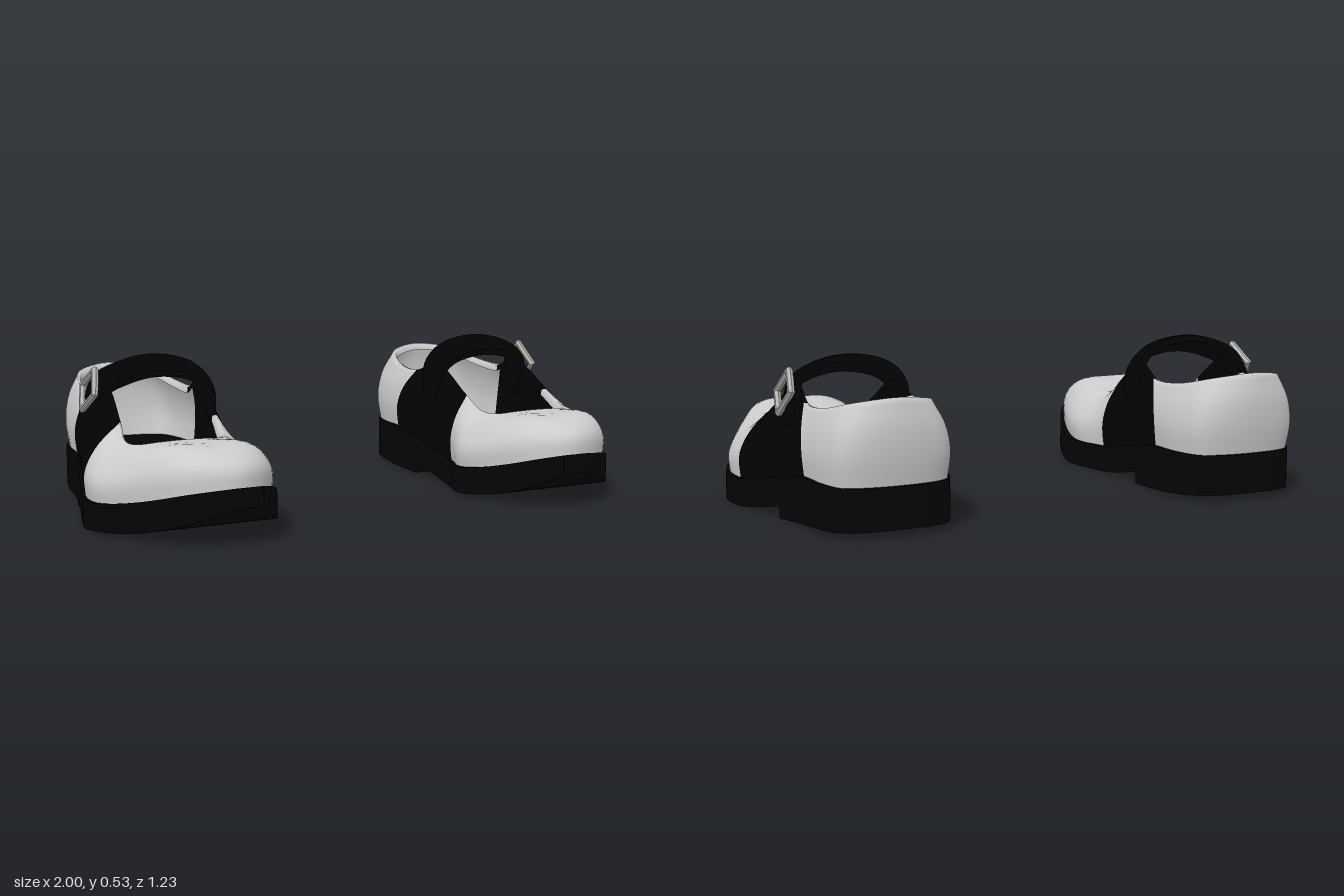
import * as THREE from 'three';

const V = (x, y, z) => new THREE.Vector3(x, y, z);
const { lerp } = THREE.MathUtils;

const white = new THREE.MeshStandardMaterial({ color: 0xcccccc, side: THREE.DoubleSide });
white.name = 'white leather';
const black = new THREE.MeshStandardMaterial({ color: 0x020202, side: THREE.DoubleSide });
black.name = 'black leather';
const rubber = new THREE.MeshStandardMaterial({ color: 0x040404 });
rubber.name = 'black rubber';
const metal = new THREE.MeshStandardMaterial({ color: 0xb4b4b0 });
metal.name = 'buckle metal';

// Sole sections from heel to toe: z, inner x, outer x, bottom y, top y
const SOLE = [
  [-0.607, 0.56, 0.74, 0.06, 0.165], [-0.58, 0.495, 0.805, 0.06, 0.165],
  [-0.54, 0.455, 0.846, 0.06, 0.165], [-0.46, 0.428, 0.87, 0.06, 0.165],
  [-0.3, 0.42, 0.89, 0.06, 0.163], [-0.18, 0.43, 0.92, 0.04, 0.14],
  [0.05, 0.43, 0.98, 0, 0.097], [0.14, 0.4, 1, 0.003, 0.097],
  [0.23, 0.376, 0.98, 0.008, 0.102], [0.33, 0.397, 0.93, 0.018, 0.118],
  [0.45, 0.445, 0.86, 0.045, 0.147], [0.55, 0.507, 0.775, 0.085, 0.177],
  [0.615, 0.565, 0.66, 0.13, 0.196],
];
const soleAt = new THREE.CubicInterpolant(SOLE.map(r => r[0]), SOLE.flatMap(r => r.slice(1)), 4);

// Slab that follows the sole outline between z0 and z1
function slab(z0, z1, heights) {
  const g = new THREE.BoxGeometry(1, 1, 1, 1, 1, 48), p = g.attributes.position;
  for (let i = 0; i < p.count; i++) {
    const t = (1 - Math.cos(Math.PI * (p.getZ(i) + 0.5))) / 2;
    const z = z0 + (z1 - z0) * t;
    const [inner, outer, low, high] = soleAt.evaluate(z);
    const [bottom, top] = heights ? heights(t) : [low, high];
    p.setXYZ(i, p.getX(i) < 0 ? inner : outer, p.getY(i) < 0 ? bottom : top, z);
  }
  g.computeVertexNormals();
  return g;
}

// Upper from toe to heel: z at the sole, then z, y, inner x, outer x of the opening
const UPPER = [
  [0.58, 0.238, 0.292, 0.69, 0.69], [0.52, 0.235, 0.29, 0.61, 0.77],
  [0.38, 0.22, 0.285, 0.535, 0.845], [0.2, 0.15, 0.288, 0.515, 0.86],
  [0.07, 0.07, 0.335, 0.5, 0.85], [-0.12, -0.12, 0.43, 0.48, 0.835],
  [-0.33, -0.25, 0.392, 0.465, 0.845], [-0.47, -0.42, 0.398, 0.475, 0.835],
  [-0.56, -0.555, 0.43, 0.53, 0.785], [-0.593, -0.604, 0.447, 0.66, 0.66],
];

// Four wall points at one station, from the sole to the opening
function wallPoints(i, outerSide) {
  const [zBase, zTop, yTop, innerTop, outerTop] = UPPER[i];
  const [inner, outer, , soleTop] = soleAt.evaluate(zBase);
  const inset = 0.012 + 0.02 * Math.max(zBase, 0);
  const centred = innerTop === outerTop;
  const xBase = centred ? (inner + outer) / 2 : outerSide ? outer - inset : inner + inset;
  const base = V(xBase, soleTop - 0.015, zBase);
  const top = V(outerSide ? outerTop : innerTop, yTop, zTop);
  const bulge = V((xBase - 0.65) * 3, 0, zBase).setLength(zBase < -0.5 ? 0.02 : 0.012);
  const toe = [1, 1, 0.4][i] ?? 0;
  const mid = (plan, rise) => V(
    lerp(base.x, top.x, plan), lerp(base.y, top.y, rise), lerp(base.z, top.z, plan)).add(bulge);
  return [base, mid(0.07, 0.38 + 0.26 * toe), mid(0.42 - 0.08 * toe, 0.7 + 0.36 * toe), top];
}

function upperGeometry() {
  // Stations run toe, outer side, heel, inner side
  const last = UPPER.length - 1, stations = 2 * last, per = 6, columns = per * stations, rows = 14;
  const walls = Array.from({ length: stations }, (_, s) => wallPoints(s <= last ? s : stations - s, s <= last));
  const loops = [0, 1, 2, 3].map(k => new THREE.CatmullRomCurve3(walls.map(w => w[k]), true));
  const pos = [], index = [];
  for (let i = 0; i < columns; i++) {
    const wall = new THREE.CatmullRomCurve3(loops.map(c => c.getPoint(i / columns)));
    for (let j = 0; j <= rows; j++) pos.push(...wall.getPoint(j / rows).toArray());
    // Rolled lip just inside the opening
    const edge = wall.getPoint(1), inward = V(0.66 - edge.x, 0, -0.2 - edge.z).setLength(0.018);
    edge.add(inward);
    pos.push(edge.x, edge.y - 0.004, edge.z);
    edge.addScaledVector(inward, 0.2);
    pos.push(edge.x, edge.y - 0.025, edge.z);
  }
  const h = rows + 3;
  for (let i = 0; i < columns; i++) {
    for (let j = 0; j < h - 1; j++) {
      const a = i * h + j, b = ((i + 1) % columns) * h + j;
      index.push(a, b, b + 1, a, b + 1, a + 1);
    }
  }
  const g = new THREE.BufferGeometry();
  g.setAttribute('position', new THREE.Float32BufferAttribute(pos, 3));
  g.setIndex(index);
  g.computeVertexNormals();
  // Toe cap, side panel, heel counter, side panel, toe cap
  const seams = [0, 4, 6, 12, 14, stations], step = per * (h - 1) * 6;
  for (let k = 0; k < 5; k++) g.addGroup(seams[k] * step, (seams[k + 1] - seams[k]) * step, k % 2);
  return g;
}

// Band with a slightly crowned section, bent over the instep
function strapGeometry() {
  const path = new THREE.CatmullRomCurve3([
    V(0.45, 0.31, -0.12), V(0.455, 0.41, -0.115), V(0.515, 0.475, -0.11), V(0.66, 0.505, -0.108),
    V(0.785, 0.48, -0.115), V(0.85, 0.44, -0.14), V(0.88, 0.31, -0.215)]);
  const across = V(0, -0.42, 0.91).normalize();
  const g = new THREE.BoxGeometry(1, 1, 1, 40, 1, 6), p = g.attributes.position;
  for (let i = 0; i < p.count; i++) {
    const t = p.getX(i) + 0.5, w = p.getZ(i);
    const out = across.clone().cross(path.getTangent(t)).normalize();
    const q = path.getPoint(t).addScaledVector(out, p.getY(i) * 0.026 + 0.004 - 0.06 * w * w);
    q.addScaledVector(across, w * 0.112);
    p.setXYZ(i, q.x, q.y, q.z);
  }
  g.computeVertexNormals();
  return g;
}

// Square frame on the outer side of the strap
function buckleGeometry() {
  const g = new THREE.TorusGeometry(0.072, 0.013, 6, 4).toNonIndexed();
  g.computeVertexNormals();
  g.rotateZ(0.1).rotateY(Math.PI / 2).rotateZ(0.3).translate(0.882, 0.418, -0.155);
  g.setIndex([...Array(g.attributes.position.count).keys()]);
  return g;
}

// Mirror across x = 0 and keep the faces pointing outward
function mirrored(source) {
  const g = source.clone().scale(-1, 1, 1), ix = g.index;
  for (let i = 0; i < ix.count; i += 3) {
    const b = ix.getX(i + 1);
    ix.setX(i + 1, ix.getX(i + 2));
    ix.setX(i + 2, b);
  }
  return g;
}

export function createModel() {
  const model = new THREE.Group();
  model.name = 'pairOfShoes';
  const parts = [
    ['sole', slab(-0.607, 0.615), rubber],
    ['heelBlock', slab(-0.604, -0.19, t => [0.025 * (1 - t), 0.08]), rubber],
    ['upper', upperGeometry(), [white, black]],
    ['strap', strapGeometry(), black],
    ['buckle', buckleGeometry(), metal],
  ];
  for (const side of ['left', 'right']) {
    const shoe = new THREE.Group();
    shoe.name = side + 'Shoe';
    for (const [name, geometry, material] of parts) {
      const mesh = new THREE.Mesh(side === 'left' ? geometry : mirrored(geometry), material);
      mesh.name = name;
      shoe.add(mesh);
    }
    model.add(shoe);
  }
  return model;
}
